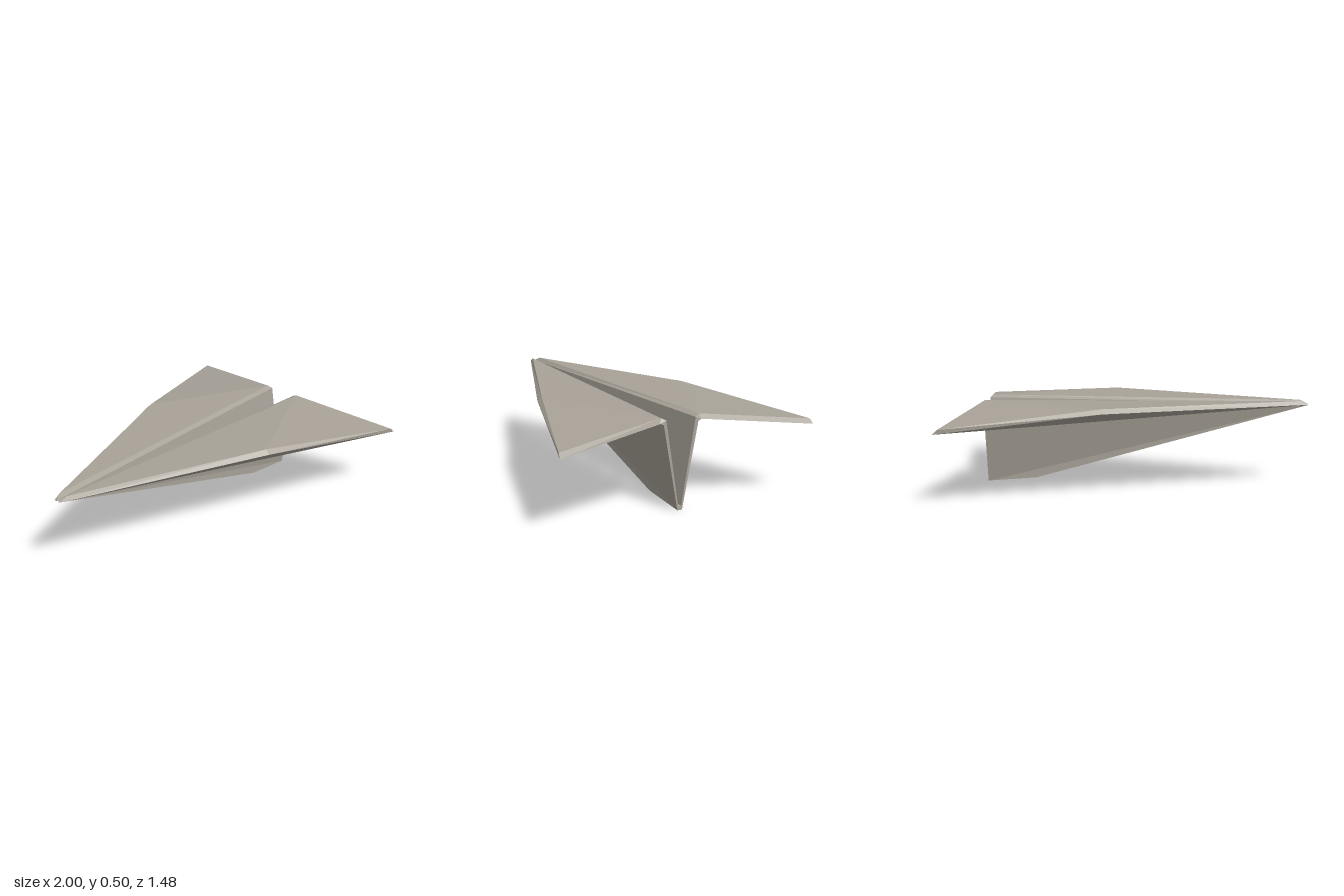
import * as THREE from 'three';

// Corners of one half of the folded sheet (+z side); the other half is mirrored.
const P = {
  // keel wall: i = inside the fold, o = outside
  iN: [-1, 0.48, 0.005], iK: [0.59, 0.04, 0.009], iT: [0.87, 0.02, 0.009], iF: [0.868, 0.487, 0.087],
  oN: [-1, 0.475, 0.012], oK: [0.58, 0.025, 0.014], oT: [0.87, 0, 0.014], oF: [0.87, 0.465, 0.103],
  // wing: w = top, b = underside (nose, root, kink, tip)
  wN: [-0.96, 0.5, 0.025], wR: [0.855, 0.5, 0.112], wK: [0.14, 0.505, 0.45], wT: [0.975, 0.43, 0.735],
  bN: [-1, 0.478, 0.022], bR: [0.868, 0.473, 0.122], bK: [0.14, 0.48, 0.475], bT: [1, 0.405, 0.74],
  // keel floor on the centre line
  cK: [0.59, 0.04, 0], cT: [0.87, 0.02, 0], dK: [0.58, 0.025, 0], dT: [0.87, 0, 0],
};

// Faces of each part, listed counter-clockwise from outside
const PARTS = {
  wing: [
    'wN wK wR', 'wK wT wR',           // top
    'bN bT bK', 'bN bR bT',           // underside
    'bN bK wK wN', 'bK bT wT wK',     // leading edge
    'bT bR wR wT',                    // trailing edge
  ],
  foldEdge: ['iN wN wR iF', 'oN oF bR bN', 'bR oF iF wR', 'oN bN wN iN'],
  keelWall: ['oN oK oT oF', 'iN iF iT iK', 'oF oT iT iF', 'oN iN iK oK'],
  keelFloor: ['cK iK iT cT', 'dK dT oT oK', 'dK oK iK cK', 'oT dT cT iT'],
};

// Fan each face into triangles; side = -1 mirrors across z and flips the order
function buildFaces(faces, side) {
  const pos = [];
  for (const face of faces) {
    const c = face.split(' ').map((k) => [P[k][0], P[k][1], P[k][2] * side]);
    if (side < 0) c.reverse();
    // keep the same diagonal on both sides
    if (side < 0) c.unshift(c.pop());
    for (let i = 1; i < c.length - 1; i++) pos.push(...c[0], ...c[i], ...c[i + 1]);
  }
  const g = new THREE.BufferGeometry();
  g.setAttribute('position', new THREE.Float32BufferAttribute(pos, 3));
  g.computeVertexNormals();
  return g;
}

export function createModel() {
  const paper = new THREE.MeshStandardMaterial({ color: 0xa8a298 });
  paper.name = 'warm grey paper';
  paper.flatShading = true;

  const model = new THREE.Group();
  model.name = 'paperPlane';
  for (const [side, label] of [[1, 'front'], [-1, 'back']]) {
    const half = new THREE.Group();
    half.name = label + 'Half';
    for (const [name, faces] of Object.entries(PARTS)) {
      const mesh = new THREE.Mesh(buildFaces(faces, side), paper);
      mesh.name = name;
      half.add(mesh);
    }
    model.add(half);
  }
  return model;
}
